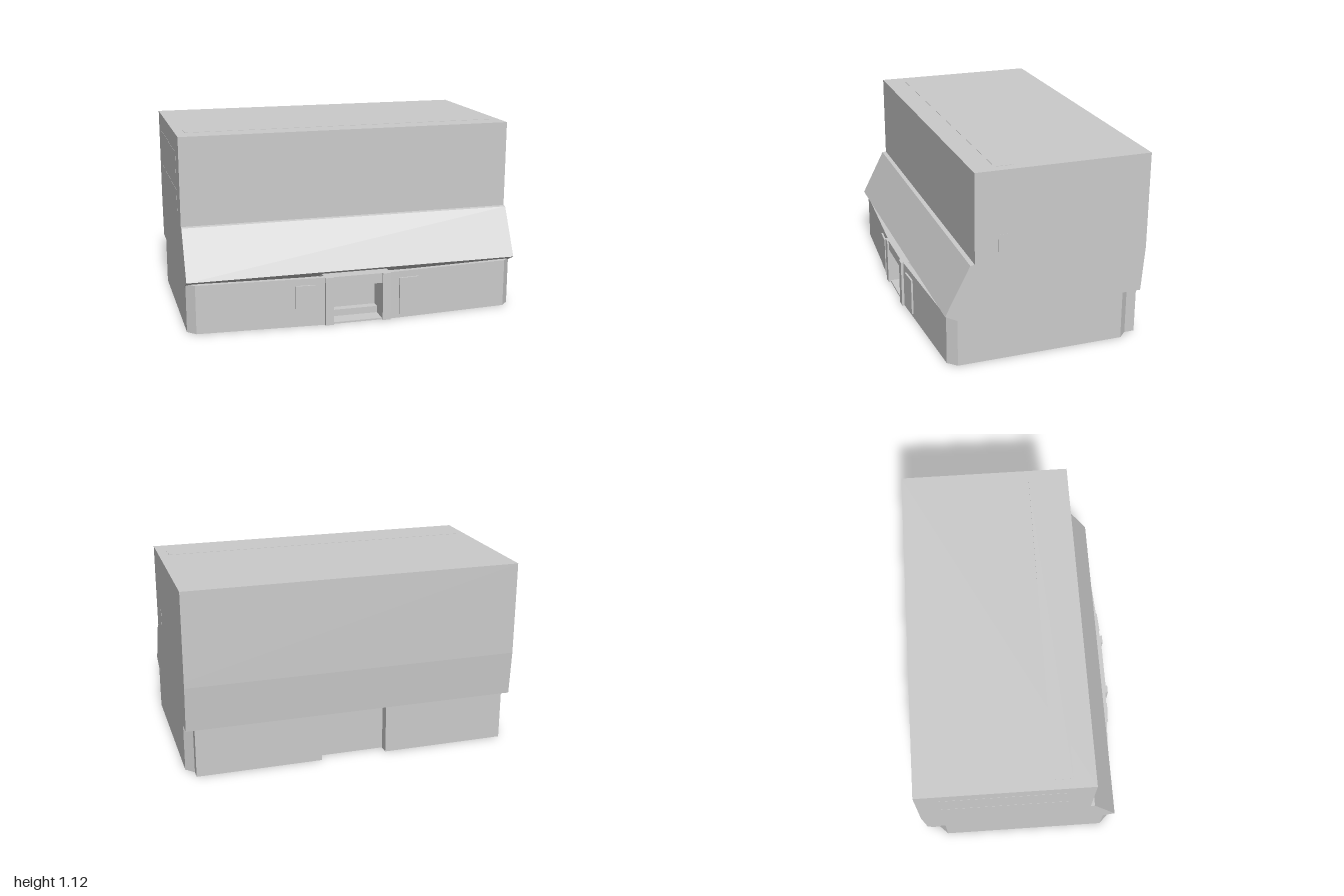
import * as THREE from 'three';

const mat = new THREE.MeshStandardMaterial({ color: 0xcccccc, flatShading: true });

export function createModel() {
  const model = new THREE.Group();

  const add = (name, geometry) => {
    const mesh = new THREE.Mesh(geometry, mat);
    mesh.name = name;
    model.add(mesh);
    return mesh;
  };
  // box given by its limits on each axis
  const box = (name, [x0, x1], [y0, y1], [z0, z1]) => {
    const g = new THREE.BoxGeometry(x1 - x0, y1 - y0, z1 - z0);
    g.translate((x0 + x1) / 2, (y0 + y1) / 2, (z0 + z1) / 2);
    return add(name, g);
  };
  const shape = (pts) => new THREE.Shape(pts.map(([a, b]) => new THREE.Vector2(a, b)));
  const extrude = (pts, depth) => new THREE.ExtrudeGeometry(shape(pts), { depth, bevelEnabled: false });
  // plan of [x, z] points raised from y0 to y1
  const plan = (name, pts, y0, y1) =>
    add(name, extrude(pts, y1 - y0).rotateX(Math.PI / 2).translate(0, y1, 0));

  // upper storey
  box('upperStorey', [-1, 1], [0.6, 1.12], [-0.615, 0.405]);

  // middle storey with sloping front canopy, profile of [z, y]
  const profile = [[-0.595, 0.29], [0.442, 0.29], [0.46, 0.256], [0.575, 0.315],
    [0.43, 0.597], [0.405, 0.6], [-0.615, 0.6], [-0.615, 0.56]];
  add('canopyStorey', extrude(profile, 2).rotateY(-Math.PI / 2).translate(1, 0, 0));

  // ground floor, built as two mirrored halves
  const half = [[0.15, 0.6], [0.2, 0.6], [0.95, 0.555], [0.998, 0.505], [0.998, -0.485],
    [0.95, -0.535], [0, -0.535], [0, -0.505], [0.935, -0.505], [0.968, -0.472],
    [0.968, 0.492], [0.937, 0.525], [0.2, 0.57], [0.15, 0.57]];
  for (const s of [1, -1]) {
    const span = (a, b) => (s > 0 ? [a, b] : [-b, -a]);
    plan('groundWall', half.map(([x, z]) => [s * x, z]), 0, 0.29);
    box('rearBay', span(0.2, 0.95), [0, 0.29], [-0.595, -0.535]);
    box('doorPier', span(0.15, 0.2), [0, 0.29], [0.45, 0.615]);

    // framed panel lying against the angled front wall
    const panel = add('frontPanel', new THREE.BoxGeometry(0.12, 0.225, 0.02));
    panel.position.set(s * 0.317, 0.138, 0.594);
    panel.rotation.y = s * Math.atan2(0.045, 0.75);
  }

  // entrance
  box('doorLintel', [-0.15, 0.15], [0.23, 0.29], [0.45, 0.605]);
  box('entranceBackWall', [-0.15, 0.15], [0, 0.29], [0.43, 0.45]);
  box('entranceStep', [-0.15, 0.15], [0, 0.01], [0.45, 0.6]);
  box('entranceSill', [-0.15, 0.15], [0, 0.05], [0.45, 0.5]);

  // floor slab, notched at the back
  plan('floorSlab', [[-0.88, 0.5], [-0.15, 0.53], [-0.15, 0.43], [0.15, 0.43], [0.15, 0.53],
    [0.88, 0.5], [0.93, 0.46], [0.93, -0.41], [0.89, -0.45], [0.2, -0.45], [0.2, -0.33],
    [-0.2, -0.33], [-0.2, -0.45], [-0.89, -0.45], [-0.93, -0.41], [-0.93, 0.46]], 0.002, 0.05);

  // thin strips on the roof and sides
  box('roofStrip', [-0.945, 0.94], [1.118, 1.1215], [0.165, 0.275]);
  box('leftSidePanel', [0.99, 1.001], [0.635, 0.755], [0.215, 0.27]);
  for (const y of [0.66, 0.885]) box('rightSidePanel', [-1.001, -0.99], [y, y + 0.125], [-0.48, 0.26]);

  return model;
}
